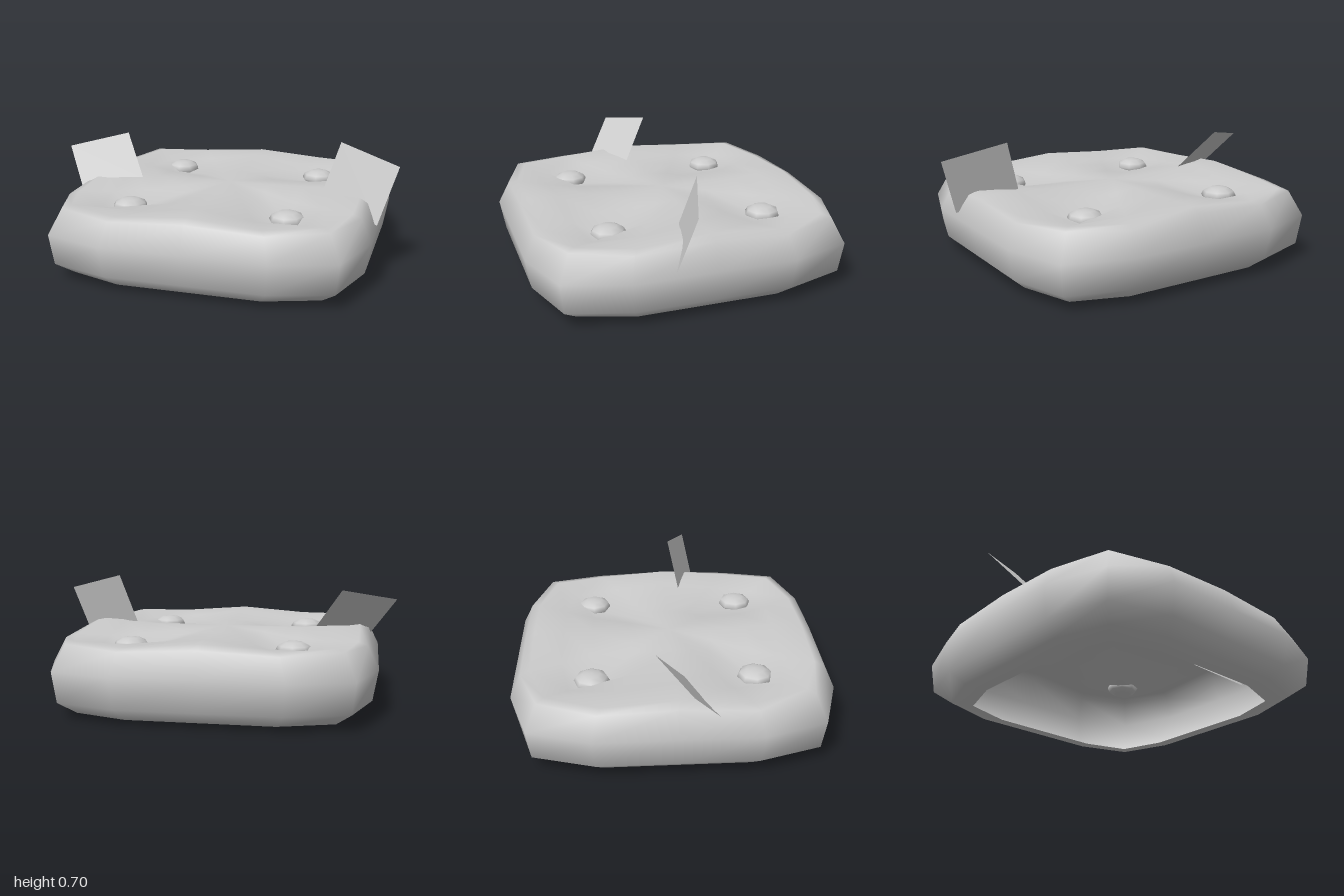
import * as THREE from 'three';

const material = new THREE.MeshStandardMaterial({ color: 0xcccccc, side: THREE.DoubleSide });

// Cushion rings, bottom rim to top: [side distance, corner distance, y at corner, y between, y at side middle]
const RINGS = [
  [0.68, 0.60, 0, 0, 0],
  [0.79, 0.69, 0.02, 0.02, 0.02],
  [0.87, 0.77, 0.09, 0.09, 0.09],
  [0.90, 0.79, 0.26, 0.26, 0.26],
  [0.84, 0.73, 0.40, 0.385, 0.405],
  [0.79, 0.69, 0.41, 0.40, 0.43],
  [0.62, 0.57, 0.37, 0.385, 0.425],
  [0.45, 0.45, 0.325, 0.385, 0.415],
  [0.24, 0.21, 0.385, 0.40, 0.412],
];

// Hollow puffed shell with four dimples, open underneath
function cushionGeometry() {
  const positions = [];
  const index = [];
  for (const [side, corner, yCorner, yBetween, yMid] of RINGS) {
    const edge = [
      [-corner, yCorner, corner],
      [-side / 2, yBetween, side],
      [0, yMid, side],
      [side / 2, yBetween, side],
    ];
    for (let k = 0; k < 4; k++) {
      for (const p of edge) {
        const v = new THREE.Vector3(...p).applyAxisAngle(THREE.Object3D.DEFAULT_UP, k * Math.PI / 2);
        positions.push(v.x, v.y, v.z);
      }
    }
  }
  const n = 16;
  for (let r = 0; r < RINGS.length - 1; r++) {
    for (let i = 0; i < n; i++) {
      const a = r * n + i;
      const b = r * n + (i + 1) % n;
      index.push(a, b, b + n, a, b + n, a + n);
    }
  }
  // close the middle of the top
  const centre = positions.length / 3;
  positions.push(0, 0.415, 0);
  const last = centre - n;
  for (let i = 0; i < n; i++) index.push(last + i, last + (i + 1) % n, centre);

  const geometry = new THREE.BufferGeometry();
  geometry.setAttribute('position', new THREE.Float32BufferAttribute(positions, 3));
  geometry.setIndex(index);
  geometry.computeVertexNormals();
  return geometry;
}

// Flat parallelogram from its two top corners and the step down to the bottom ones
function flapGeometry(topA, topB, down) {
  const a = new THREE.Vector3(...topA);
  const b = new THREE.Vector3(...topB);
  const d = new THREE.Vector3(...down);
  const geometry = new THREE.BufferGeometry().setFromPoints([a, b, b.clone().add(d), a.clone().add(d)]);
  geometry.setIndex([0, 2, 1, 0, 3, 2]);
  geometry.computeVertexNormals();
  return geometry;
}

export function createModel() {
  const group = new THREE.Group();
  const add = (name, geometry) => {
    const mesh = new THREE.Mesh(geometry, material);
    mesh.name = name;
    group.add(mesh);
    return mesh;
  };

  add('cushion', cushionGeometry());

  // Tufting buttons sunk in the dimples
  const button = new THREE.SphereGeometry(0.1, 8, 6);
  button.scale(1, 0.5, 1);
  for (const x of [-0.45, 0.45]) {
    for (const z of [-0.45, 0.45]) {
      add('button', button).position.set(x, 0.355, z);
    }
  }

  // Square flaps stuck into the two sides
  add('leftFlap', flapGeometry([0.66, 0.7, 0.03], [1, 0.61, 0.15], [-0.1, -0.32, 0.07]));
  add('rightFlap', flapGeometry([-1, 0.58, 0.065], [-0.69, 0.645, -0.11], [0.16, -0.24, 0.17]));

  return group;
}
